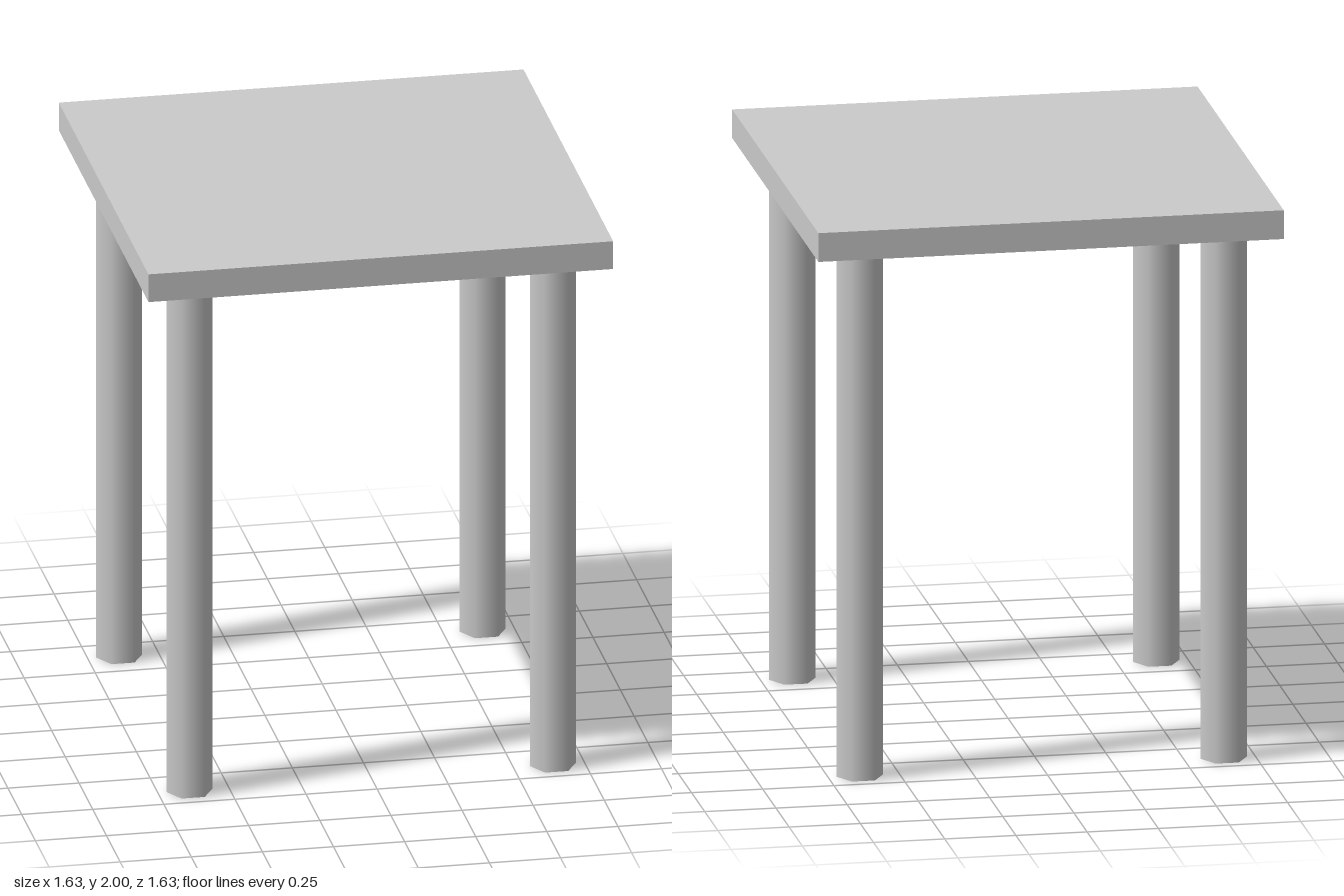
import * as THREE from 'three';

export function createModel() {
  const group = new THREE.Group();
  const material = new THREE.MeshStandardMaterial({ color: 0xcccccc });

  const width = 1.634;
  const thickness = 0.103;
  const legHeight = 2 - thickness;
  const legOffset = 0.639;

  // Square slab top
  const top = new THREE.Mesh(new THREE.BoxGeometry(width, thickness, width), material);
  top.name = 'tableTop';
  top.position.y = 2 - thickness / 2;
  group.add(top);

  // Four six-sided, smooth-shaded legs with a corner pointing along x
  const legGeometry = new THREE.CylinderGeometry(0.081, 0.081, legHeight, 6, 1, false, Math.PI / 6);
  for (const [zName, z] of [['front', 1], ['back', -1]]) {
    for (const [xName, x] of [['Left', 1], ['Right', -1]]) {
      const leg = new THREE.Mesh(legGeometry, material);
      leg.name = `${zName}${xName}Leg`;
      leg.position.set(x * legOffset, legHeight / 2, z * legOffset);
      group.add(leg);
    }
  }

  return group;
}
